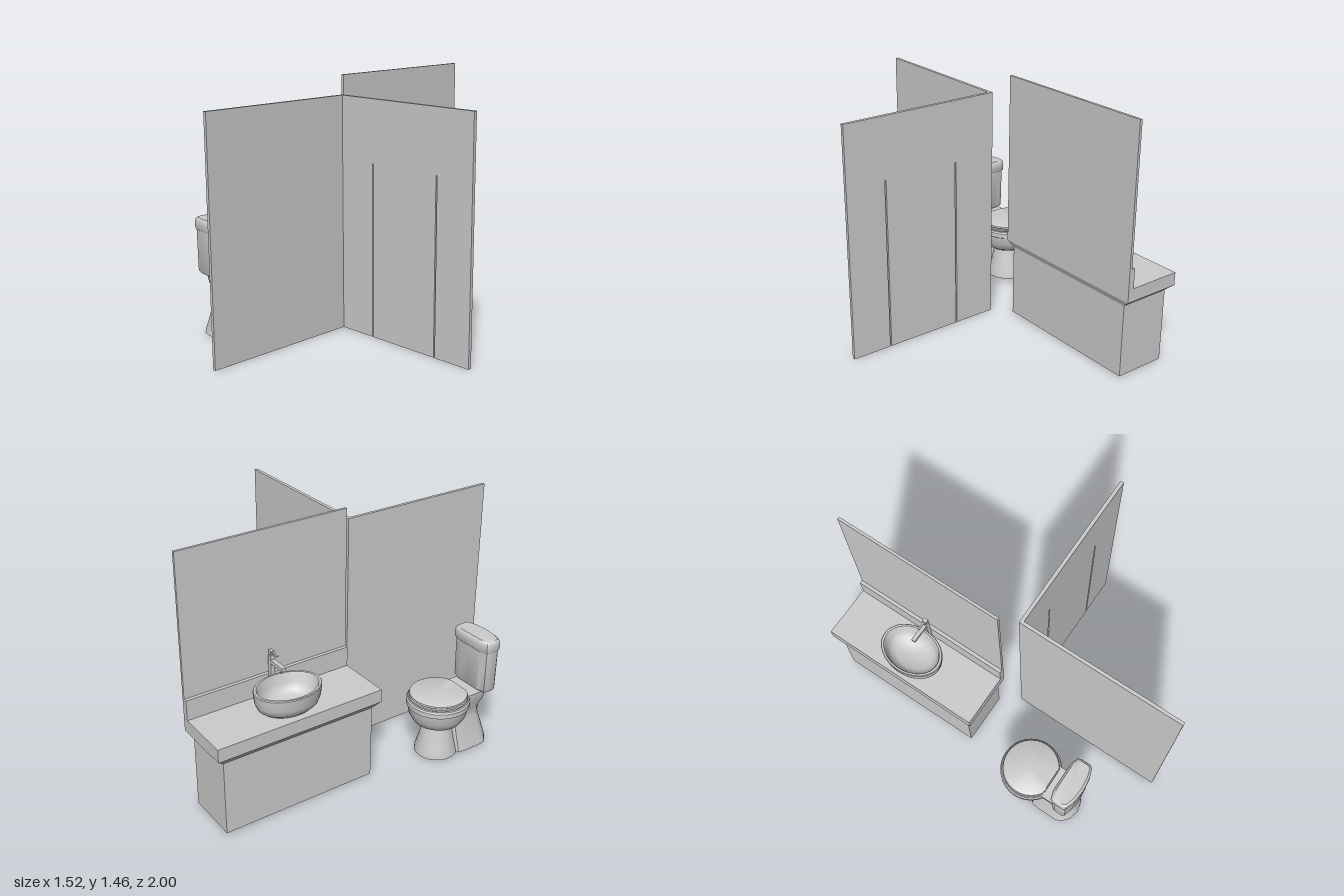
import * as THREE from 'three';
import { toCreasedNormals } from 'three/addons/utils/BufferGeometryUtils.js';

const material = new THREE.MeshStandardMaterial({ color: 0xcccccc });
const openMaterial = new THREE.MeshStandardMaterial({ color: 0xcccccc, side: THREE.DoubleSide });

function part(parent, name, geometry, mat = material) {
  const mesh = new THREE.Mesh(geometry, mat);
  mesh.name = name;
  parent.add(mesh);
  return mesh;
}

// Box given by its limits along each axis
function box(parent, name, [x0, x1], [y0, y1], [z0, z1]) {
  const mesh = part(parent, name, new THREE.BoxGeometry(x1 - x0, y1 - y0, z1 - z0));
  mesh.position.set((x0 + x1) / 2, (y0 + y1) / 2, (z0 + z1) / 2);
  return mesh;
}

// Closed solid through horizontal outlines: sections are [height, [[x, z], ...]]
function loft(sections, crease = 0.6) {
  const pos = [];
  const tri = (...pts) => pts.forEach((p) => pos.push(...p));
  const rings = sections.map(([y, outline]) => outline.map(([x, z]) => [x, y, z]));
  const n = rings[0].length;
  const centre = (ring) => [0, 1, 2].map((k) => ring.reduce((s, p) => s + p[k], 0) / n);
  const bottom = rings[0], top = rings[rings.length - 1];
  const cb = centre(bottom), ct = centre(top);
  for (let i = 0; i < n; i++) {
    const j = (i + 1) % n;
    for (let k = 0; k < rings.length - 1; k++) {
      const a = rings[k][i], b = rings[k][j], c = rings[k + 1][j], d = rings[k + 1][i];
      tri(a, d, b);
      tri(b, d, c);
    }
    tri(cb, bottom[i], bottom[j]);
    tri(ct, top[j], top[i]);
  }
  const g = new THREE.BufferGeometry();
  g.setAttribute('position', new THREE.Float32BufferAttribute(pos, 3));
  g.computeVertexNormals();
  return toCreasedNormals(g, crease);
}

const rect = (x0, x1, z0, z1) => [[x0, z0], [x1, z0], [x1, z1], [x0, z1]];

// Bowed, symmetric outline with half width w between depths z0 and z1
function bowed(w, z0, z1) {
  const d = z1 - z0;
  const half = [[0.6 * w, z0], [0.94 * w, z0 + 0.11 * d], [w, z0 + 0.25 * d],
    [w, z1 - 0.32 * d], [0.93 * w, z1 - 0.2 * d], [0.55 * w, z1 - 0.06 * d]];
  return [[0, z0], ...half, [0, z1], ...half.map(([x, z]) => [-x, z]).reverse()];
}

// Circle cut straight at the back
function cutCircle(r, cut) {
  return Array.from({ length: 32 }, (_, i) => {
    const t = (i / 32) * Math.PI * 2;
    return [r * Math.cos(t), Math.min(r * Math.sin(t), cut)];
  });
}

function lathe(points, segments) {
  const g = new THREE.LatheGeometry(points.map(([r, y]) => new THREE.Vector2(r, y)), segments);
  return toCreasedNormals(g, 0.6);
}

function createToilet() {
  const g = new THREE.Group();
  g.name = 'toilet';
  const bowl = new THREE.Group();
  bowl.name = 'bowlAssembly';
  bowl.position.z = 0.39;
  g.add(bowl);

  // Foot, waist, bowl and rim in one turned profile
  part(bowl, 'bowlAndFoot', lathe([[0, 0.01], [0.12, 0.01], [0.117, 0.035], [0.098, 0.1],
    [0.08, 0.19], [0.105, 0.2], [0.135, 0.218], [0.16, 0.26], [0.168, 0.312],
    [0.177, 0.318], [0.177, 0.345], [0.17, 0.353], [0, 0.353]], 32));
  part(bowl, 'seat', loft([[0.353, cutCircle(0.158, 0.14)], [0.358, cutCircle(0.165, 0.14)],
    [0.367, cutCircle(0.165, 0.14)], [0.37, cutCircle(0.16, 0.14)]]));
  part(bowl, 'seatLid', loft([[0.37, cutCircle(0.157, 0.14)], [0.375, cutCircle(0.162, 0.14)],
    [0.383, cutCircle(0.16, 0.14)], [0.388, cutCircle(0.15, 0.135)]]));

  // Rear support rising from the floor to carry the tank
  part(g, 'rearSupport', loft([[0.01, bowed(0.115, 0.44, 0.725)], [0.035, bowed(0.112, 0.44, 0.72)],
    [0.19, bowed(0.068, 0.44, 0.675)], [0.25, bowed(0.072, 0.44, 0.67)],
    [0.31, bowed(0.098, 0.46, 0.69)], [0.36, bowed(0.102, 0.47, 0.7)]]));

  part(g, 'tank', loft([[0.36, bowed(0.125, 0.61, 0.712)], [0.37, bowed(0.13, 0.603, 0.718)],
    [0.605, bowed(0.133, 0.6, 0.72)], [0.62, bowed(0.133, 0.6, 0.72)]]));
  part(g, 'tankLid', loft([[0.612, bowed(0.137, 0.594, 0.724)], [0.62, bowed(0.14, 0.59, 0.728)],
    [0.66, bowed(0.14, 0.59, 0.728)], [0.672, bowed(0.136, 0.594, 0.724)],
    [0.68, bowed(0.126, 0.604, 0.714)]]));
  g.position.x = -0.587;
  return g;
}

function createVanity() {
  const g = new THREE.Group();
  g.name = 'vanity';
  const z = [-1, -0.02];
  // Cabinet flaring out to the worktop
  const base = rect(-0.573, -0.27, -0.96, -0.06);
  const slab = rect(-0.6, -0.255, ...z);
  part(g, 'cabinetAndWorktop', loft([[0.01, base], [0.435, base], [0.47, slab], [0.545, slab]], 0.3));
  box(g, 'backsplash', [-0.29, -0.255], [0.545, 0.66], z);
  box(g, 'mirror', [-0.27, -0.255], [0.66, 1.455], z);

  // Oval basin with open hollow
  const basin = part(g, 'basin', lathe([[0, 0.545], [0.105, 0.545], [0.125, 0.565], [0.136, 0.6],
    [0.141, 0.66], [0.138, 0.665], [0.128, 0.665], [0.124, 0.655], [0.117, 0.61],
    [0.1, 0.575], [0.076, 0.56], [0, 0.556]], 32), openMaterial);
  basin.scale.z = 1.34;
  basin.position.set(-0.455, 0, -0.51);

  const tap = new THREE.Group();
  tap.name = 'tap';
  g.add(tap);
  box(tap, 'tapPost', [-0.315, -0.29], [0.545, 0.775], [-0.522, -0.498]);
  box(tap, 'tapHandle', [-0.315, -0.29], [0.78, 0.8], [-0.522, -0.498]);
  box(tap, 'handleStem', [-0.31, -0.295], [0.775, 0.78], [-0.517, -0.503]);
  box(tap, 'tapLever', [-0.365, -0.315], [0.787, 0.794], [-0.515, -0.505]);
  box(tap, 'tapSpout', [-0.425, -0.315], [0.73, 0.75], [-0.522, -0.498]);
  const outlet = part(tap, 'tapOutlet', new THREE.CylinderGeometry(0.007, 0.007, 0.022, 12));
  outlet.position.set(-0.4, 0.72, -0.51);
  return g;
}

function createCubicle() {
  const g = new THREE.Group();
  g.name = 'cubicle';
  const z = [0.05, 0.07], top = 1.355, doorTop = 1;
  box(g, 'sideWall', [-0.19, -0.172], [0, top], [0.05, 1]);
  // Front wall: two posts and a header around the door, with narrow gaps
  box(g, 'hingePanel', [-0.172, 0.062], [0, doorTop], z);
  box(g, 'door', [0.07, 0.518], [0, doorTop], z);
  box(g, 'latchPanel', [0.526, 0.76], [0, doorTop], z);
  box(g, 'header', [-0.172, 0.76], [doorTop, top], z);
  return g;
}

export function createModel() {
  const model = new THREE.Group();
  model.name = 'washroom';
  model.add(createToilet(), createVanity(), createCubicle());
  return model;
}
